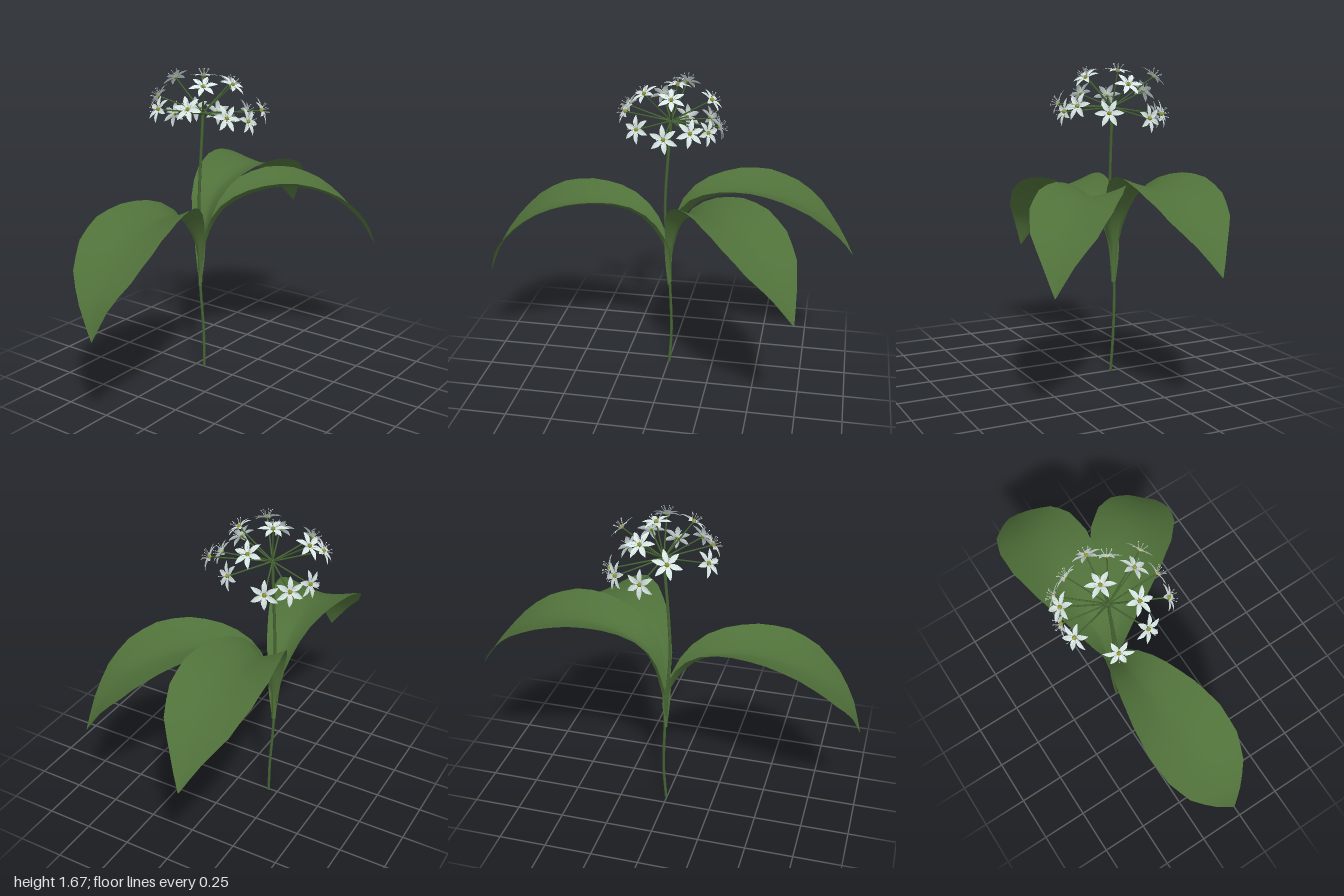
import * as THREE from 'three';
import { mergeGeometries } from 'three/addons/utils/BufferGeometryUtils.js';

const V = (x, y, z) => new THREE.Vector3(x, y, z);
const UP = V(0, 1, 0);

function material(name, color, doubleSided) {
  const m = new THREE.MeshStandardMaterial({ color });
  m.name = name;
  if (doubleSided) m.side = THREE.DoubleSide;
  return m;
}

// Blade along a curve; width(t) is the half width, lift(t) raises the edges
function bladeGeometry(curve, side, rows, cols, width, lift) {
  const pos = [], index = [];
  for (let i = 0; i <= rows; i++) {
    const t = i / rows;
    const centre = curve.getPointAt(t);
    const normal = curve.getTangentAt(t).cross(side).normalize();
    for (let j = 0; j <= cols; j++) {
      const u = (j / cols) * 2 - 1;
      const p = centre.clone().addScaledVector(side, u * width(t))
        .addScaledVector(normal, lift(t) * Math.pow(Math.abs(u), 1.4));
      pos.push(p.x, p.y, p.z);
      if (i < rows && j < cols) {
        const a = i * (cols + 1) + j, b = a + cols + 1;
        index.push(a, b, a + 1, a + 1, b, b + 1);
      }
    }
  }
  const g = new THREE.BufferGeometry();
  g.setAttribute('position', new THREE.Float32BufferAttribute(pos, 3));
  g.setIndex(index);
  g.computeVertexNormals();
  return g;
}

// Thin rod between two points
function rod(a, b, r0, r1, sides) {
  const d = b.clone().sub(a);
  const g = new THREE.CylinderGeometry(r1, r0, d.length(), sides);
  g.applyQuaternion(new THREE.Quaternion().setFromUnitVectors(UP, d.normalize()));
  const mid = a.clone().add(b).multiplyScalar(0.5);
  return g.translate(mid.x, mid.y, mid.z);
}

// Leaf outline: narrow sheath, broad blade, pointed tip
const outline = [0.04, 0.1, 0.2, 0.41, 0.66, 0.87, 1, 0.97, 0.77, 0.37, 0.01];
function leafWidth(t) {
  const i = Math.min(Math.floor(t * 10), 9);
  return THREE.MathUtils.lerp(outline[i], outline[i + 1], t * 10 - i);
}

export function createModel() {
  const model = new THREE.Group();
  const leafMat = material('leaf green', 0x50713a, true);
  const stemMat = material('stem green', 0x456433);
  const petalMat = material('petal white', 0xd9e8e6, true);
  const stamenMat = material('stamen pale', 0xcfd8d6);
  const centreMat = material('flower centre olive', 0x8f9620);

  const add = (parent, name, geometry, mat) => {
    const mesh = new THREE.Mesh(geometry, mat);
    mesh.name = name;
    parent.add(mesh);
  };

  // Stem
  const hub = V(-0.195, 1.44, -0.01);
  const stemPath = new THREE.CatmullRomCurve3([
    V(-0.198, 0, -0.005), V(-0.207, 0.2, -0.015), V(-0.218, 0.45, -0.005),
    V(-0.215, 0.7, 0.01), V(-0.203, 0.95, 0.022), hub]);
  add(model, 'stem', new THREE.TubeGeometry(stemPath, 28, 0.0078, 8), stemMat);
  add(model, 'stemFoot', new THREE.SphereGeometry(0.0078, 8, 6)
    .translate(-0.198, 0.0078, -0.005), stemMat);

  // Three arching leaves whose bases wrap the stem
  const addLeaf = (name, halfWidth, dx, dz, ...points) => {
    const curve = new THREE.CatmullRomCurve3(points);
    const side = UP.clone().cross(V(dx, 0, dz)).normalize();
    const width = t => halfWidth * leafWidth(t);
    const lift = t => width(t) * ((1 - t) ** 2 + 0.1);
    add(model, name, bladeGeometry(curve, side, 20, 8, width, lift), leafMat);
  };
  addLeaf('frontLeaf', 0.222, 0.08, 1,
    V(-0.218, 0.48, 0.01), V(-0.214, 0.7, 0.02), V(-0.195, 0.91, 0.18),
    V(-0.172, 0.963, 0.45), V(-0.15, 0.905, 0.7), V(-0.12, 0.71, 0.925), V(-0.09, 0.535, 0.997));
  addLeaf('backLeaf', 0.22, -0.03, -1,
    V(-0.218, 0.5, -0.012), V(-0.218, 0.7, -0.02), V(-0.226, 0.965, -0.13),
    V(-0.23, 1.065, -0.42), V(-0.235, 1.01, -0.71), V(-0.243, 0.85, -0.91), V(-0.25, 0.73, -0.995));
  addLeaf('sideLeaf', 0.212, 0.7, -0.72,
    V(-0.205, 0.5, -0.005), V(-0.2, 0.68, -0.01), V(-0.12, 0.915, -0.09),
    V(0.08, 1.025, -0.3), V(0.27, 0.97, -0.5), V(0.405, 0.805, -0.655), V(0.463, 0.65, -0.73));

  // Flower pieces, facing +y: six petals, six stamens, a round centre
  const petalCurve = new THREE.QuadraticBezierCurve3(
    V(0, 0, 0.004), V(0, 0.014, 0.038), V(0, 0.004, 0.075));
  const petalWidth = t => 0.001 + 0.013 * Math.sin(Math.PI * t ** 0.9);
  const petals = [], stamens = [];
  const tip = V(0, 0.038, 0.028);
  for (let i = 0; i < 6; i++) {
    const a = i * Math.PI / 3;
    petals.push(bladeGeometry(petalCurve, V(1, 0, 0), 5, 2, petalWidth,
      t => petalWidth(t) * 0.25).rotateY(a));
    stamens.push(
      rod(V(0, 0.002, 0.005), tip, 0.0014, 0.001, 4).rotateY(a + 0.5),
      new THREE.SphereGeometry(0.003, 5, 4).translate(tip.x, tip.y, tip.z).rotateY(a + 0.5));
  }
  const petalGeo = mergeGeometries(petals);
  const stamenGeo = mergeGeometries(stamens);
  const centreGeo = new THREE.SphereGeometry(0.011, 8, 6).translate(0, 0.007, 0);

  // Umbel of flowers on stalks radiating from the hub, each tipped a little upward
  const umbel = new THREE.Group();
  umbel.name = 'flowerHead';
  model.add(umbel);
  add(umbel, 'hub', new THREE.SphereGeometry(0.013, 8, 6).translate(hub.x, hub.y, hub.z), stemMat);
  const flowerCentres = [
    V(-0.21, 1.625, -0.04), V(-0.03, 1.595, -0.04), V(-0.1, 1.6, 0.11), V(-0.29, 1.485, 0.23),
    V(-0.12, 1.5, 0.21), V(0.05, 1.46, 0.12), V(-0.42, 1.515, 0.07), V(0.08, 1.425, -0.02),
    V(-0.42, 1.4, -0.06), V(-0.41, 1.595, -0.06), V(-0.38, 1.41, -0.19), V(-0.28, 1.395, -0.25),
    V(-0.07, 1.425, -0.22), V(0.07, 1.46, -0.15), V(-0.175, 1.565, -0.22)];
  flowerCentres.forEach((centre, i) => {
    add(umbel, 'flowerStalk', rod(hub, centre, 0.0045, 0.0035, 6), stemMat);
    const flower = new THREE.Group();
    flower.name = 'flower';
    add(flower, 'petals', petalGeo, petalMat);
    add(flower, 'stamens', stamenGeo, stamenMat);
    add(flower, 'flowerCentre', centreGeo, centreMat);
    flower.position.copy(centre);
    const facing = centre.clone().sub(hub).normalize().addScaledVector(UP, 0.35).normalize();
    flower.quaternion.setFromUnitVectors(UP, facing);
    flower.rotateY(i * 0.7);
    umbel.add(flower);
  });
  return model;
}
